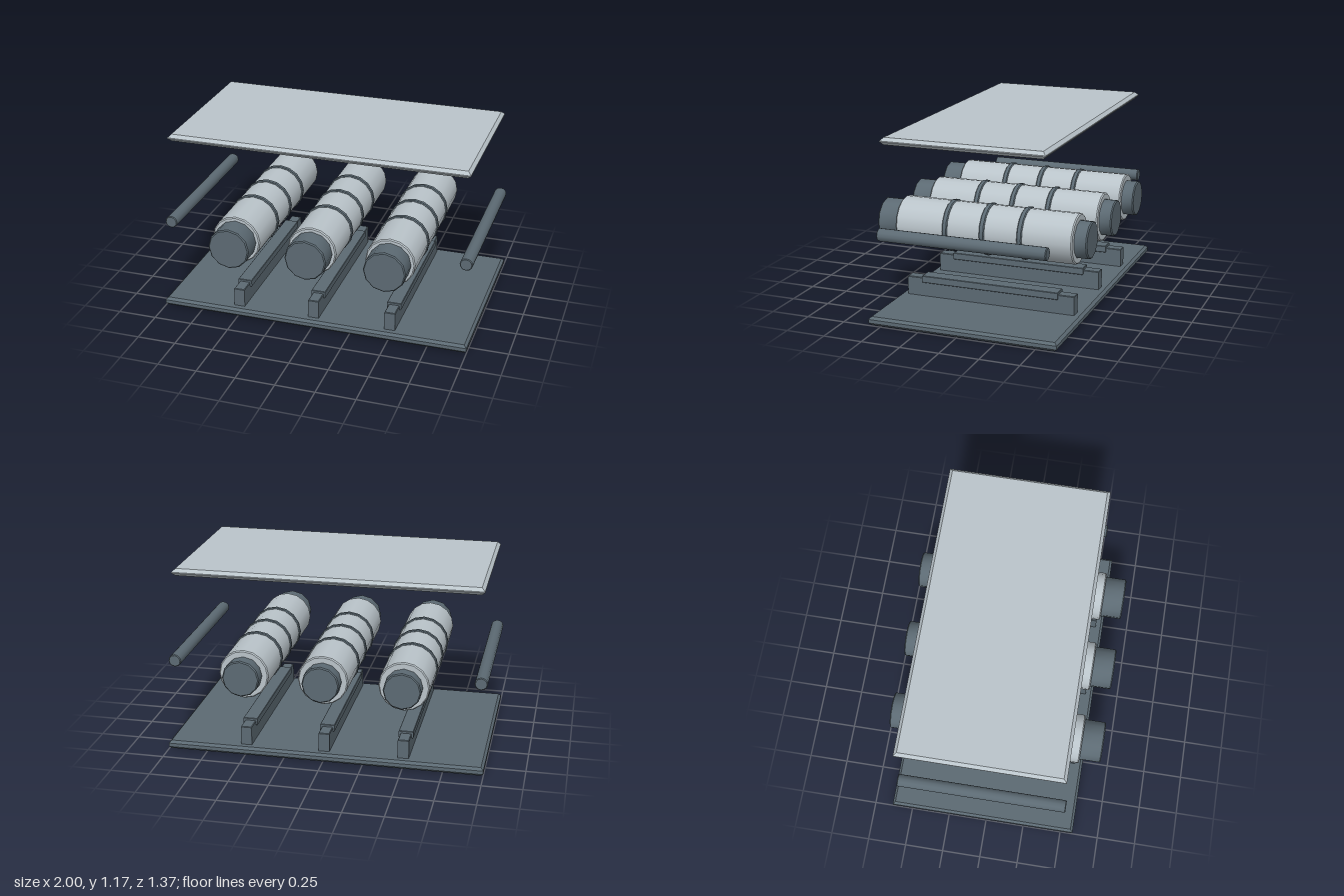
import * as THREE from 'three';
import { toCreasedNormals } from 'three/addons/utils/BufferGeometryUtils.js';

const dark = new THREE.MeshStandardMaterial({ color: 0x5c6a73 });
dark.name = 'slate grey';
const light = new THREE.MeshStandardMaterial({ color: 0xbac4ca });
light.name = 'pale grey';

const MID_Z = -0.025;

// Box with its upper and lower rims chamfered, spanning y0..y1
function slab(name, material, w, y0, y1, d, chamfer) {
  const x = w / 2 - chamfer, z = d / 2 - chamfer;
  const shape = new THREE.Shape([[-x, -z], [x, -z], [x, z], [-x, z]].map(p => new THREE.Vector2(...p)));
  const geo = new THREE.ExtrudeGeometry(shape, {
    depth: y1 - y0 - 2 * chamfer, bevelEnabled: true, bevelSegments: 1,
    bevelSize: chamfer, bevelThickness: chamfer,
  });
  geo.rotateX(-Math.PI / 2);
  geo.translate(0, y0 + chamfer, MID_Z);
  const mesh = new THREE.Mesh(geo, material);
  mesh.name = name;
  return mesh;
}

// Round bar along z with chamfered ends, spanning z0..z1
function bar(name, material, r, z0, z1, sides, chamfer) {
  const h = (z1 - z0) / 2, c = chamfer;
  const profile = [[0, -h], [r - c, -h], [r, -h + c], [r, h - c], [r - c, h], [0, h]];
  let geo = new THREE.LatheGeometry(profile.map(p => new THREE.Vector2(...p)), sides);
  geo = toCreasedNormals(geo, 0.6);
  geo.rotateX(Math.PI / 2);
  geo.translate(0, 0, (z0 + z1) / 2);
  const mesh = new THREE.Mesh(geo, material);
  mesh.name = name;
  return mesh;
}

// Banded canister with a cap at each end
function canister() {
  const g = new THREE.Group();
  g.name = 'canister';
  g.add(bar('canisterBody', light, 0.157, -0.602, 0.55, 16, 0.007));
  g.add(bar('frontCap', dark, 0.133, 0.54, 0.685, 12, 0.007));
  g.add(bar('backCap', dark, 0.117, -0.682, -0.59, 12, 0.007));
  for (const z of [0.219, MID_Z, -0.269]) {
    g.add(bar('band', dark, 0.164, z - 0.017, z + 0.017, 16, 0.006));
  }
  return g;
}

// Upright rail with a wider strip along its top
function rail() {
  const g = new THREE.Group();
  g.name = 'supportRail';
  g.add(slab('railWeb', dark, 0.07, 0.05, 0.176, 1.115, 0.004));
  g.add(slab('railStrip', dark, 0.092, 0.146, 0.191, 0.908, 0.003));
  return g;
}

export function createModel() {
  const model = new THREE.Group();
  model.name = 'canisterRack';
  model.add(slab('basePlate', dark, 2, 0, 0.055, 1.212, 0.016));
  model.add(slab('topPlate', light, 1.92, 1.125, 1.171, 1.034, 0.02));

  for (const x of [-0.5, 0, 0.5]) {
    const c = canister();
    c.position.set(x, 0.538, 0);
    const r = rail();
    r.position.x = x;
    model.add(c, r);
  }

  for (const side of [-1, 1]) {
    const rod = bar('sideRod', dark, 0.04, -0.56, 0.511, 12, 0.005);
    rod.position.set(side * 0.96, 0.576, 0);
    model.add(rod);
  }
  return model;
}
